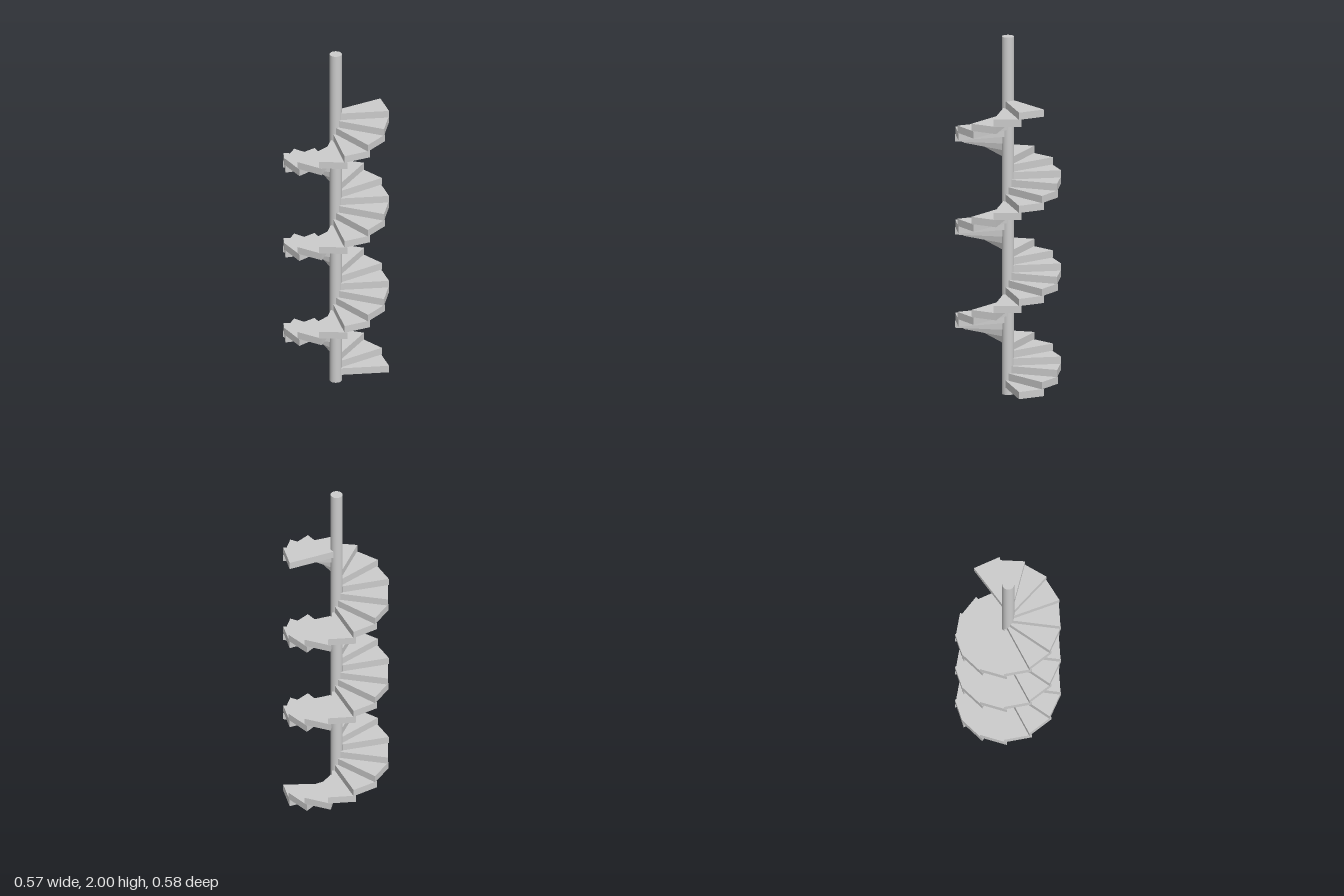
import * as THREE from 'three';

const STEPS = 40;
const STEPS_PER_TURN = 13;
const RISE = 0.0401;
const FIRST_STEP_Y = 0.04;
const POLE_RADIUS = 0.033;

export function createModel() {
  const group = new THREE.Group();
  group.name = 'spiralStaircase';
  const material = new THREE.MeshStandardMaterial({ color: 0xcccccc });

  // Central pole
  const pole = new THREE.Mesh(
    new THREE.CylinderGeometry(POLE_RADIUS, POLE_RADIUS, 2, 32), material);
  pole.name = 'pole';
  pole.position.y = 1;
  group.add(pole);

  // Wedge-shaped tread, narrow end meeting the pole
  const outline = new THREE.Shape([
    new THREE.Vector2(0.022, -0.025),
    new THREE.Vector2(0.279, -0.0765),
    new THREE.Vector2(0.279, 0.0765),
    new THREE.Vector2(0.022, 0.025),
  ]);
  const treadGeometry = new THREE.ExtrudeGeometry(outline, { depth: RISE, bevelEnabled: false });
  treadGeometry.rotateX(-Math.PI / 2);

  // Treads climbing three full turns
  const treads = new THREE.Group();
  treads.name = 'treads';
  for (let i = 0; i < STEPS; i++) {
    const tread = new THREE.Mesh(treadGeometry, material);
    tread.name = `tread${i + 1}`;
    tread.position.y = FIRST_STEP_Y + i * RISE;
    tread.rotation.y = (i / STEPS_PER_TURN) * Math.PI * 2;
    treads.add(tread);
  }
  group.add(treads);

  return group;
}
